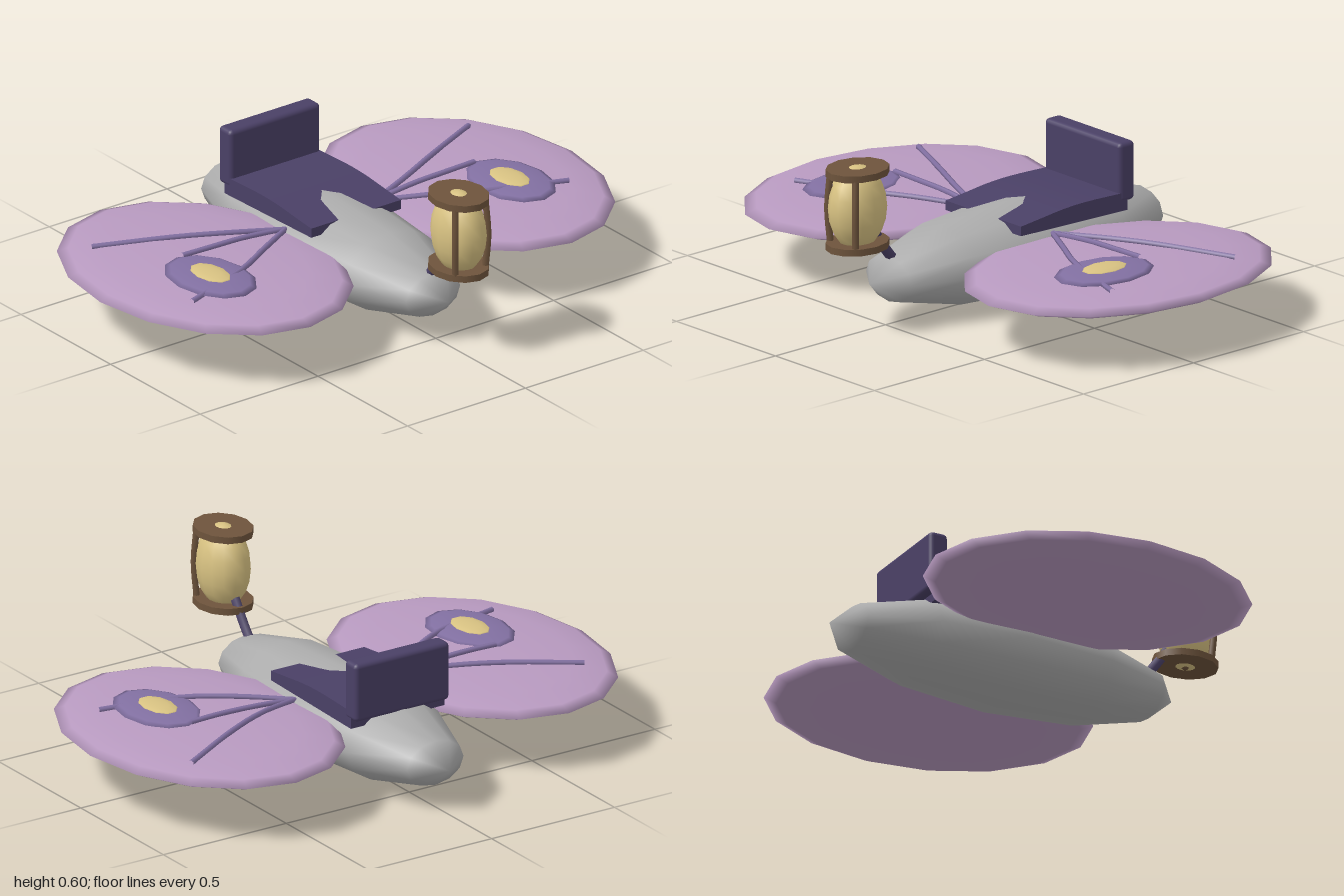
import * as THREE from 'three';
import { RoundedBoxGeometry } from 'three/addons/geometries/RoundedBoxGeometry.js';

const mat = (name, color) => {
  const m = new THREE.MeshStandardMaterial({ color });
  m.name = name;
  return m;
};

export function createModel() {
  const grey = mat('hull grey', 0xacacac);
  const lilac = mat('wing lilac', 0xb89ac0);
  const violet = mat('marking violet', 0x8270a2);
  const indigo = mat('seat indigo', 0x4a4066);
  const cream = mat('glowing cream', 0xd8c282);
  const brown = mat('wood brown', 0x6e543c);

  const model = new THREE.Group();
  model.name = 'wingedGlider';
  const add = (name, geo, material, x = 0, y = 0, z = 0, parent = model) => {
    const m = new THREE.Mesh(geo, material);
    m.name = name;
    m.position.set(x, y, z);
    parent.add(m);
    return m;
  };
  const ellipsoid = (rx, ry, rz, w, h) => new THREE.SphereGeometry(1, w, h).scale(rx, ry, rz);
  const tube = (pts, r, seg = 8) => new THREE.TubeGeometry(
    new THREE.CatmullRomCurve3(pts.map(p => new THREE.Vector3(...p))), seg, r, 6);

  // Hull, with its poles at the nose and tail
  add('hull', new THREE.SphereGeometry(1, 12, 6).rotateX(Math.PI / 2).scale(0.23, 0.16, 0.66),
    grey, 0, 0.16, -0.087);

  // Wings with eye spots and veins
  const wx = 0.555, wy = 0.21, wz = -0.057, a = 0.445, b = 0.587, t = 0.046;
  const wingTop = (x, z) =>
    wy + t * Math.sqrt(Math.max(0, 1 - ((x - wx) / a) ** 2 - ((z - wz) / b) ** 2));
  const veins = [
    [[0.19, -0.09], [0.36, -0.15], [0.53, -0.23], [0.8, -0.37]],
    [[0.19, -0.09], [0.36, -0.095], [0.5, -0.095], [0.62, -0.1]],
    [[0.19, -0.09], [0.36, 0.015], [0.52, 0.105], [0.8, 0.19]],
  ];
  for (const s of [1, -1]) {
    const wing = new THREE.Group();
    wing.name = s > 0 ? 'leftWing' : 'rightWing';
    model.add(wing);
    add('wingPanel', ellipsoid(a, t, b, 16, 8), lilac, s * wx, wy, wz, wing);
    add('eyeSpotRing', ellipsoid(0.135, 0.016, 0.195, 12, 6), violet, s * 0.635, 0.252, 0.077, wing);
    add('eyeSpotCentre', ellipsoid(0.06, 0.013, 0.098, 10, 6), cream, s * 0.635, 0.262, 0.077, wing);
    for (const v of veins) {
      const pts = v.map(([x, z]) => [s * x, wingTop(x, z) + 0.005, z]);
      add('vein', tube(pts, 0.01, 12), violet, 0, 0, 0, wing);
    }
  }

  // Seat: gently arched side profile, extruded across the hull
  const side = new THREE.Shape();
  side.moveTo(-0.055, 0.263);
  side.lineTo(-0.055, 0.297);
  side.splineThru([[0.05, 0.308], [0.14, 0.317], [0.25, 0.32], [0.43, 0.313]]
    .map(p => new THREE.Vector2(...p)));
  side.lineTo(0.43, 0.25);
  side.closePath();
  const seat = new THREE.ExtrudeGeometry(side, { depth: 0.38, bevelEnabled: false, curveSegments: 3 });
  add('seat', seat.translate(0, 0, -0.19).rotateY(Math.PI / 2), indigo);
  add('backrest', new RoundedBoxGeometry(0.385, 0.21, 0.07, 2, 0.016), indigo, 0, 0.386, -0.428);

  // Lantern hung on a short pole ahead of the nose
  const lantern = new THREE.Group();
  lantern.name = 'lantern';
  lantern.position.set(0, 0, 0.627);
  model.add(lantern);
  add('lanternPole', tube([[0, 0.215, 0.455], [0, 0.27, 0.5], [0, 0.355, 0.56]], 0.018), indigo);
  add('lanternGlow', ellipsoid(0.088, 0.15, 0.11, 14, 10), cream, 0, 0.447, 0, lantern);
  for (const y of [0.317, 0.578]) {
    const cap = new THREE.CylinderGeometry(1, 1, 0.024, 12).scale(0.097, 1, 0.118);
    add('lanternCap', cap, brown, 0, y, 0, lantern);
  }
  add('lanternKnob', ellipsoid(0.015, 0.012, 0.015, 8, 6), brown, 0, 0.306, 0, lantern);
  for (const s of [1, -1]) {
    const bar = tube([[s * 0.064, 0.325, 0.066], [s * 0.07, 0.445, 0.073], [s * 0.064, 0.57, 0.066]], 0.012);
    add('lanternBar', bar, brown, 0, 0, 0, lantern);
  }
  return model;
}
